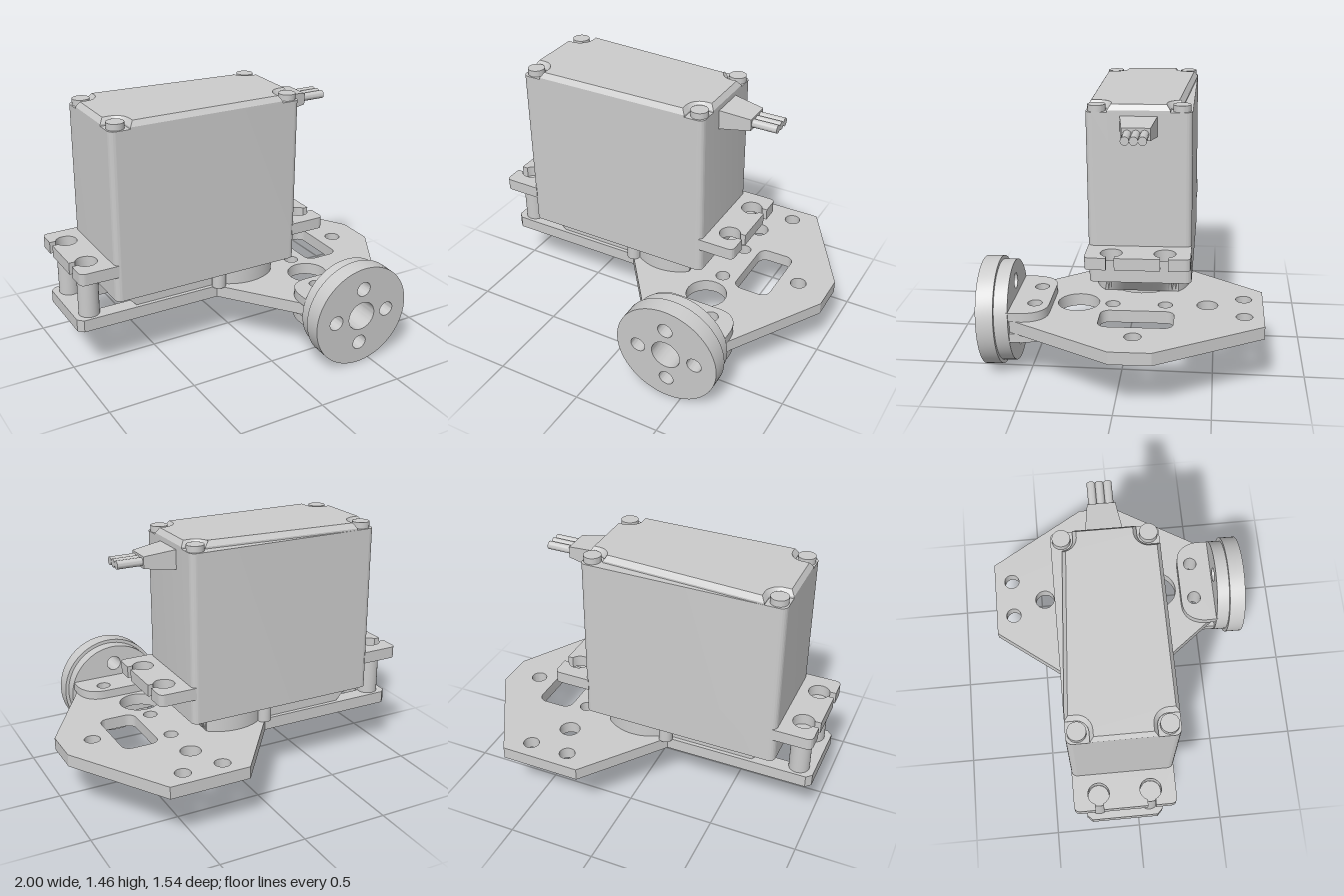
import * as THREE from 'three';
import { toCreasedNormals } from 'three/addons/utils/BufferGeometryUtils.js';

const grey = new THREE.MeshStandardMaterial({ color: 0xcccccc });
const AXIS = -0.085; // z of the symmetry plane of the servo and plate

function add(parent, name, geometry) {
  const mesh = new THREE.Mesh(toCreasedNormals(geometry, 0.5), grey);
  mesh.name = name;
  parent.add(mesh);
  return mesh;
}

function roundRect(x0, z0, x1, z1, r, Kind = THREE.Shape) {
  const s = new Kind();
  s.absarc(x1 - r, z0 + r, r, -Math.PI / 2, 0);
  s.absarc(x1 - r, z1 - r, r, 0, Math.PI / 2);
  s.absarc(x0 + r, z1 - r, r, Math.PI / 2, Math.PI);
  s.absarc(x0 + r, z0 + r, r, Math.PI, Math.PI * 1.5);
  s.closePath();
  return s;
}

const polygon = (pts) => new THREE.Shape(pts.map(([x, y]) => new THREE.Vector2(x, y)));

function drill(shape, holes) {
  for (const [x, y, r] of holes) shape.holes.push(new THREE.Path().absarc(x, y, r, 0, Math.PI * 2, true));
  return shape;
}

// Horizontal slab: the shape is drawn in x and z, between two heights
function slab(shape, y0, y1) {
  return new THREE.ExtrudeGeometry(shape, { depth: y1 - y0, bevelEnabled: false, curveSegments: 16 })
    .rotateX(Math.PI / 2).translate(0, y1, 0);
}

function cylinder(x, z, r, y0, y1, sides = 32) {
  return new THREE.CylinderGeometry(r, r, y1 - y0, sides).translate(x, (y0 + y1) / 2, z);
}

function addPlate(g) {
  const h = 0.22, w = 0.68;
  const shape = polygon([
    [-0.97, AXIS - h], [-0.15, AXIS - h], [0.2, AXIS - w], [0.66, AXIS - w], [1, AXIS - 0.11],
    [1, AXIS + 0.11], [0.66, AXIS + w], [0.2, AXIS + w], [-0.15, AXIS + h], [-0.97, AXIS + h],
    [-1, AXIS + h - 0.03], [-1, AXIS - h + 0.03]]);
  drill(shape, [
    [0.05, AXIS, 0.2], [0.31, -0.66, 0.045], [0.54, -0.66, 0.045], [0.4, -0.46, 0.058], [0.82, AXIS, 0.045],
    [0.4, 0.25, 0.115], [0.41, AXIS - 0.145, 0.04], [0.41, AXIS + 0.145, 0.04], [0.31, 0.47, 0.04], [0.54, 0.47, 0.04]]);
  shape.holes.push(roundRect(0.5, AXIS - 0.2, 0.71, AXIS + 0.2, 0.05, THREE.Path));
  shape.holes.push(roundRect(-0.85, AXIS - 0.13, -0.27, AXIS + 0.13, 0.005, THREE.Path));
  add(g, 'basePlate', slab(shape, 0.285, 0.355));
  for (const s of [-1, 1]) add(g, 'standoffPost', cylinder(-0.91, AXIS + s * 0.145, 0.058, 0.35, 0.605));
}

function addServo(g) {
  const x0 = -0.8, x1 = 0.335, z0 = AXIS - 0.285, z1 = AXIS + 0.285;
  add(g, 'servoBody', slab(roundRect(x0, z0, x1, z1, 0.035), 0.452, 1.415));

  // Bevelled lid, scooped out around the corner screws
  const corners = [[x1 - 0.05, z0 + 0.057], [x1 - 0.05, z1 - 0.057], [x0 + 0.055, z1 - 0.057], [x0 + 0.055, z0 + 0.057]];
  const lid = new THREE.Shape(), r = 0.06;
  const [a, b, c, d] = corners;
  lid.absarc(a[0], a[1], r, Math.PI * 1.25 - 0.8, Math.PI / 4 + 0.6, true);
  lid.curves.length = 0;
  lid.moveTo(a[0] - r, z0);
  lid.absarc(a[0], a[1], r, Math.PI, Math.PI / 2, true);
  lid.lineTo(x1, a[1] + r);
  lid.lineTo(x1, b[1] - r);
  lid.absarc(b[0], b[1], r, -Math.PI / 2, -Math.PI, true);
  lid.lineTo(b[0] - r, z1);
  lid.lineTo(c[0] + r, z1);
  lid.absarc(c[0], c[1], r, 0, -Math.PI / 2, true);
  lid.lineTo(x0, c[1] - r);
  lid.lineTo(x0, d[1] + r);
  lid.absarc(d[0], d[1], r, Math.PI / 2, 0, true);
  lid.lineTo(d[0] + r, z0);
  const lidGeo = new THREE.ExtrudeGeometry(lid, {
    depth: 0.02, bevelSize: 0.02, bevelThickness: 0.03, bevelOffset: -0.02, bevelSegments: 1, curveSegments: 8 });
  add(g, 'lid', lidGeo.rotateX(Math.PI / 2).translate(0, 1.425, 0));
  for (const [x, z] of corners) add(g, 'lidScrew', cylinder(x, z, 0.048, 1.4, 1.45));

  // Mounting ears with keyhole slots open at the outer edge, and a rib beneath each
  for (const [inner, outer, slotX] of [[x0, -1, -0.91], [x1, 0.53, 0.445]]) {
    const dir = Math.sign(outer - inner), n = 0.022, rad = 0.06, open = Math.asin(n / rad);
    const ear = new THREE.Shape();
    ear.moveTo(inner - dir * 0.02, z0);
    ear.lineTo(outer - dir * 0.035, z0);
    ear.quadraticCurveTo(outer, z0, outer, z0 + 0.035);
    for (const s of [-1, 1]) {
      const z = AXIS + s * 0.145;
      ear.lineTo(outer, z - n);
      for (let i = 0; i <= 20; i++) {
        const t = -open - (i / 20) * (2 * Math.PI - 2 * open);
        ear.lineTo(slotX + dir * rad * Math.cos(t), z + rad * Math.sin(t));
      }
      ear.lineTo(outer, z + n);
    }
    ear.lineTo(outer, z1 - 0.035);
    ear.quadraticCurveTo(outer, z1, outer - dir * 0.035, z1);
    ear.lineTo(inner - dir * 0.02, z1);
    add(g, 'mountingEar', slab(ear, 0.6, 0.668));
    const rib = polygon([[inner, 0.545], [inner + dir * 0.06, 0.59], [inner + dir * 0.06, 0.605], [inner, 0.605]]);
    add(g, 'earRib', new THREE.ExtrudeGeometry(rib, { depth: 0.036, bevelEnabled: false }).translate(0, 0, AXIS - 0.018));
  }

  // Gear housing under the body: round boss with a sloped outer end, and a long raised block
  const boss = cylinder(0.05, AXIS, 0.27, 0.357, 0.455, 64);
  const p = boss.attributes.position;
  for (let i = 0; i < p.count; i++) if (p.getY(i) < 0.4) p.setX(i, Math.min(p.getX(i), 0.22));
  boss.computeVertexNormals();
  add(g, 'gearBoss', boss);
  const block = polygon([[-0.73, 0.455], [-0.73, 0.44], [-0.65, 0.357], [0, 0.357], [0, 0.455]]);
  add(g, 'gearBlock', new THREE.ExtrudeGeometry(block, { depth: 0.4, bevelEnabled: false }).translate(0, 0, AXIS - 0.2));
  for (const s of [-1, 1]) add(g, 'housingScrew', cylinder(-0.14, AXIS + s * 0.225, 0.04, 0.357, 0.455, 24));

  // Output shaft with fine teeth and a screw hole
  add(g, 'shaftCollar', cylinder(0.05, AXIS, 0.135, 0.3, 0.36, 48));
  const teeth = [];
  for (let i = 0; i < 96; i++) {
    const t = (i / 96) * Math.PI * 2, q = i % 4 < 2 ? 0.086 : 0.076;
    teeth.push([0.05 + q * Math.cos(t), AXIS + q * Math.sin(t)]);
  }
  add(g, 'outputShaft', slab(drill(polygon(teeth), [[0.05, AXIS, 0.035]]), 0.182, 0.31));
}

function addCable(g) {
  // Tapered strain relief with three wires
  const relief = new THREE.BoxGeometry(0.175, 0.11, 0.2);
  const p = relief.attributes.position;
  for (let i = 0; i < p.count; i++) {
    if (p.getX(i) > 0) p.setXYZ(i, p.getX(i), p.getY(i) * 0.6, p.getZ(i) * 0.76);
  }
  relief.computeVertexNormals();
  add(g, 'strainRelief', relief.translate(0.4225, 1.34, AXIS));
  for (const s of [-1, 0, 1]) {
    const wire = new THREE.CylinderGeometry(0.023, 0.023, 0.16, 16).rotateZ(Math.PI / 2);
    add(g, 'wire', wire.translate(0.572, 1.34, AXIS + s * 0.045));
  }
}

function addHub(g) {
  const cx = 0.42, cy = 0.313;
  // Two stacked discs with a centre bore and four bolt holes
  const hub = new THREE.Group();
  hub.name = 'hub';
  hub.position.set(cx, cy, 0.59);
  hub.rotation.x = 0.03;
  g.add(hub);
  const holes = [[0, 0, 0.085], [0.17, 0, 0.043], [-0.17, 0, 0.043], [0, 0.17, 0.043], [0, -0.17, 0.043]];
  for (const [name, r, z0, z1] of [['hubDisc', 0.3, 0.075, 0.17], ['hubBackDisc', 0.28, 0, 0.075]]) {
    const disc = drill(new THREE.Shape().absarc(0, 0, r, 0, Math.PI * 2), holes);
    add(hub, name, new THREE.ExtrudeGeometry(disc, { depth: z1 - z0, bevelEnabled: false, curveSegments: 32 })
      .translate(0, 0, z0));
  }
  // Rounded tongues clamping the plate from above and below
  for (const [y0, y1] of [[0.355, 0.405], [0.235, 0.285]]) {
    const s = new THREE.Shape();
    s.moveTo(cx - 0.265, 0.6);
    s.lineTo(cx - 0.265, 0.52);
    s.quadraticCurveTo(cx - 0.25, 0.39, cx - 0.13, 0.39);
    s.lineTo(cx + 0.13, 0.39);
    s.quadraticCurveTo(cx + 0.25, 0.39, cx + 0.265, 0.52);
    s.lineTo(cx + 0.265, 0.6);
    add(g, 'hubTongue', slab(drill(s, [[0.31, 0.47, 0.04], [0.54, 0.47, 0.04]]), y0, y1));
  }
}

export function createModel() {
  const model = new THREE.Group();
  model.name = 'servoAssembly';
  // The whole assembly leans very slightly forward
  const body = new THREE.Group();
  body.name = 'leaningAssembly';
  body.rotation.x = 0.012;
  body.position.z = -0.006;
  model.add(body);
  addPlate(body);
  addServo(body);
  addCable(body);
  addHub(body);
  return model;
}
